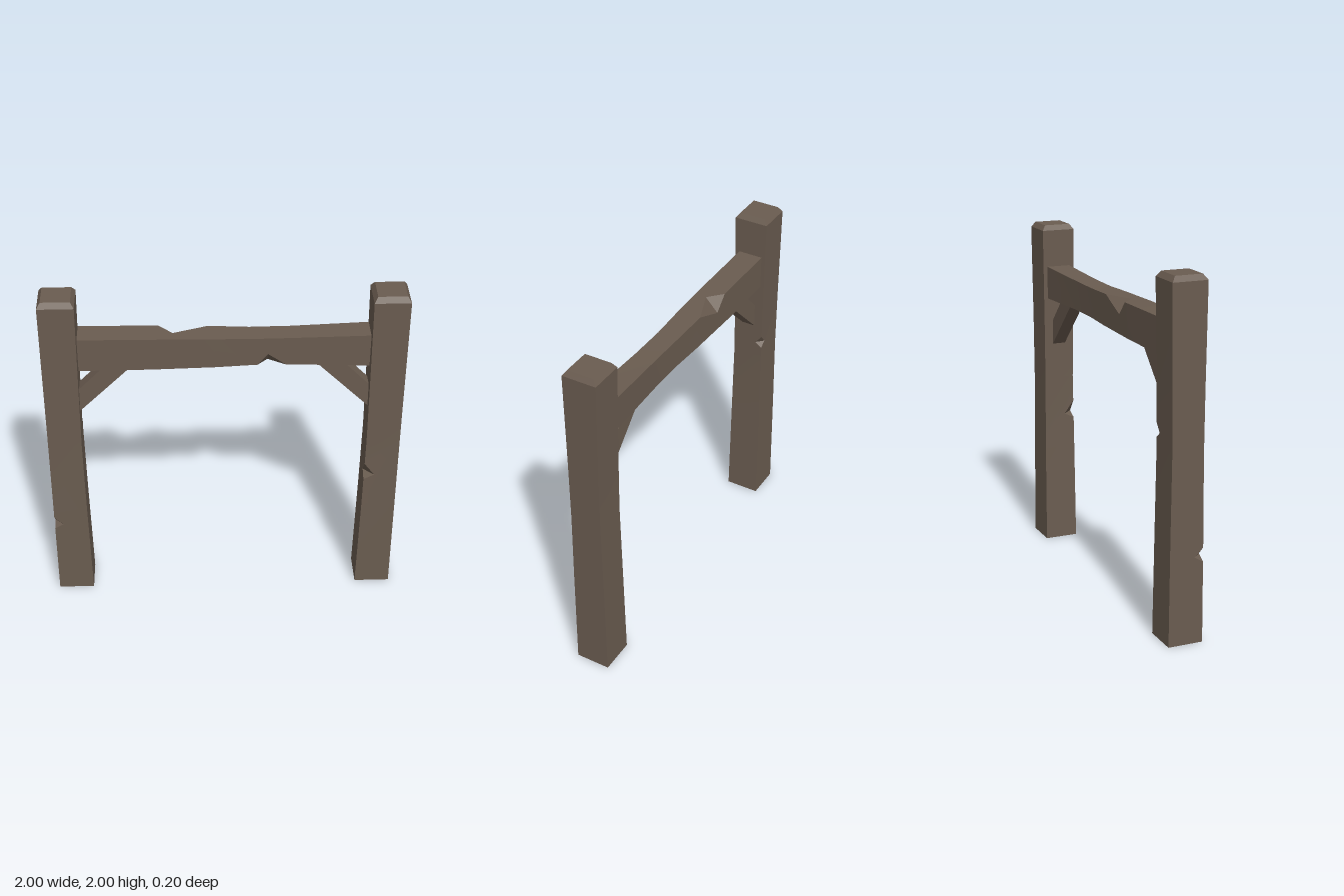
import * as THREE from 'three';
import { toCreasedNormals } from 'three/addons/utils/BufferGeometryUtils.js';

const wood = new THREE.MeshStandardMaterial({ color: 0x6a5c50, side: THREE.DoubleSide });
wood.name = 'weathered wood';

const SIGNS = [[1, 1], [-1, 1], [-1, -1], [1, -1]];

// Four-sided timber lofted along t through rings [t, p0, p1, q0, q1].
// Notches chip an edge: { edge, a, m, b, next, prev } with depths on both adjoining sides.
function timber(rings, notches, place, capStart) {
  const positions = [];
  const tri = (...pts) => pts.forEach((v) => positions.push(...place(v.x, v.y, v.z)));

  const corner = (k, t) => {
    let i = 0;
    while (i < rings.length - 2 && t > rings[i + 1][0]) i++;
    const r = rings[i], s = rings[i + 1];
    const f = (t - r[0]) / (s[0] - r[0]);
    const c = r.map((v, j) => THREE.MathUtils.lerp(v, s[j], f));
    const [sp, sq] = SIGNS[k % 4];
    return new THREE.Vector3(sp > 0 ? c[2] : c[1], sq > 0 ? c[4] : c[3], t);
  };
  const inset = (k, toward, t, d) => {
    const c = corner(k, t);
    return c.add(corner(toward, t).sub(c).setLength(d));
  };

  for (let i = 0; i < rings.length - 1; i++) {
    const t0 = rings[i][0], t1 = rings[i + 1][0];
    const cutOn = (k) => notches.find((n) => n.edge === k % 4 && n.a > t0 && n.b < t1);
    for (let k = 0; k < 4; k++) {
      // Outline of this side, including the chips on its two edges
      const n = (k + 1) % 4, right = cutOn(n), left = cutOn(k);
      const outline = [corner(k, t0), corner(n, t0)];
      if (right) outline.push(corner(n, right.a), inset(n, k, right.m, right.prev), corner(n, right.b));
      outline.push(corner(n, t1), corner(k, t1));
      if (left) outline.push(corner(k, left.b), inset(k, n, left.m, left.next), corner(k, left.a));
      const axis = corner(n, t0).sub(corner(k, t0)).normalize();
      const flat = outline.map((v) => new THREE.Vector2(v.x * axis.x + v.y * axis.y, v.z));
      for (const f of THREE.ShapeUtils.triangulateShape(flat, [])) tri(...f.map((j) => outline[j]));
    }
  }

  // Inner faces of the chips
  for (const { edge, a, m, b, next, prev } of notches) {
    const c = inset(edge, (edge + 1) % 4, m, next);
    const d = inset(edge, (edge + 3) % 4, m, prev);
    tri(corner(edge, a), c, d);
    tri(d, c, corner(edge, b));
  }

  // End caps
  const cap = (t, order) => {
    const [a, b, c, d] = order.map((k) => corner(k, t));
    tri(a, b, c);
    tri(a, c, d);
  };
  cap(rings[rings.length - 1][0], [0, 1, 2, 3]);
  if (capStart) cap(rings[0][0], [3, 2, 1, 0]);

  const geo = new THREE.BufferGeometry();
  geo.setAttribute('position', new THREE.Float32BufferAttribute(positions, 3));
  geo.computeVertexNormals();
  return toCreasedNormals(geo, 0.3);
}

function addMesh(group, name, geometry) {
  const mesh = new THREE.Mesh(geometry, wood);
  mesh.name = name;
  group.add(mesh);
  return mesh;
}

export function createModel() {
  const group = new THREE.Group();
  group.name = 'timberGateFrame';

  // Posts: waisted, chamfered at the top, open underneath. [y, half depth, inner x, outer x]
  const postProfile = [
    [0, 0.1, 0.795, 1], [0.6, 0.096, 0.805, 1], [1.05, 0.091, 0.81, 1],
    [1.4, 0.093, 0.807, 1], [1.97, 0.1, 0.8, 1], [2, 0.078, 0.82, 0.98],
  ];
  const postNotches = {
    1: [{ edge: 3, a: 0.78, m: 0.81, b: 0.89, next: 0.06, prev: 0.06 }],
    [-1]: [
      { edge: 3, a: 0.46, m: 0.49, b: 0.54, next: 0.05, prev: 0.05 },
      { edge: 1, a: 1.12, m: 1.15, b: 1.2, next: 0.04, prev: 0.04 },
    ],
  };
  for (const side of [1, -1]) {
    const rings = postProfile.map(([y, h, inner, outer]) =>
      [y, -h, h, ...(side > 0 ? [inner, outer] : [-outer, -inner])]);
    addMesh(group, side > 0 ? 'leftPost' : 'rightPost',
      timber(rings, postNotches[side], (z, x, y) => [x, y, z], false));
  }

  // Crossbeam, slightly bowed and thinner right of centre
  const beamRings = [
    [-0.8, 1.555, 1.754, -0.075, 0.07], [-0.4, 1.556, 1.75, -0.075, 0.07],
    [-0.05, 1.561, 1.743, -0.069, 0.066], [0.14, 1.567, 1.737, -0.064, 0.061],
    [0.37, 1.567, 1.739, -0.064, 0.061], [0.8, 1.555, 1.75, -0.073, 0.068],
  ];
  const beamNotches = [
    { edge: 1, a: 0.18, m: 0.24, b: 0.34, next: 0.06, prev: 0.07 },
    { edge: 3, a: -0.36, m: -0.28, b: -0.09, next: 0.075, prev: 0.08 },
  ];
  addMesh(group, 'crossbeam', timber(beamRings, beamNotches, (y, z, x) => [x, y, z], true));

  // Diagonal braces
  for (const side of [1, -1]) {
    const shape = new THREE.Shape([[0.81, 1.265], [0.81, 1.41], [0.66, 1.563], [0.508, 1.563]]
      .map(([x, y]) => new THREE.Vector2(side * x, y)));
    const geo = new THREE.ExtrudeGeometry(shape, { depth: 0.08, bevelEnabled: false });
    geo.translate(0, 0, -0.04);
    addMesh(group, side > 0 ? 'leftBrace' : 'rightBrace', geo);
  }

  return group;
}
